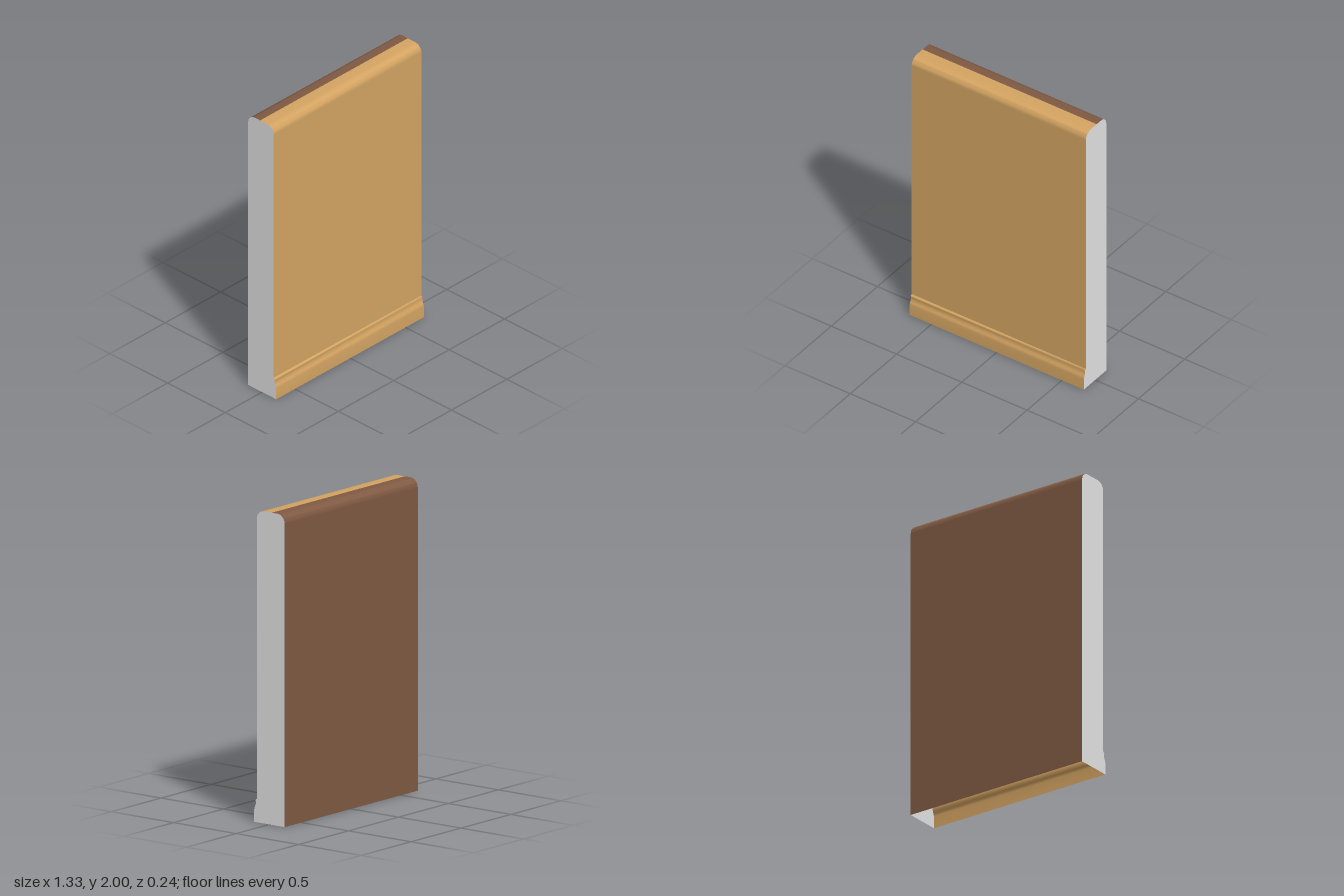
import * as THREE from 'three';

const HALF = 0.667; // half the wall length

// Cross-section as [z, y], running up the front, over the top and down the back
const BASEBOARD = [[0.122, 0], [0.122, 0.08], [0.117, 0.097], [0.11, 0.11], [0.107, 0.132], [0.112, 0.143], [0.1, 0.15]];
const FRONT = [[0.1, 0.15], [0.1, 1.945], [0.096, 1.968], [0.083, 1.986]];
const FRONT_TOP = [[0.083, 1.986], [0.068, 1.995], [0.045, 2], [-0.018, 2]];
const BACK_TOP = [[-0.018, 2], [-0.07, 2], [-0.092, 1.994], [-0.112, 1.975]];
const BACK = [[-0.112, 1.975], [-0.119, 1.96], [-0.122, 1.94], [-0.122, 0]];

// Sweeps a piece of the cross-section along the wall
function strip(name, profile, material) {
  const n = profile.length - 1;
  const geometry = new THREE.PlaneGeometry(2 * HALF, 1, 1, n);
  const pos = geometry.attributes.position;
  for (let i = 0; i < pos.count; i++) {
    const [z, y] = profile[n - Math.floor(i / 2)];
    pos.setXYZ(i, pos.getX(i), y, z);
  }
  geometry.computeVertexNormals();
  const mesh = new THREE.Mesh(geometry, material);
  mesh.name = name;
  return mesh;
}

// Flat end of the wall; side is +1 for left, -1 for right
function endCap(name, side, material) {
  const outline = [BASEBOARD, FRONT, FRONT_TOP, BACK_TOP, BACK]
    .flatMap((part, i) => (i ? part.slice(1) : part))
    .map(([z, y]) => new THREE.Vector2(-side * z, y));
  const geometry = new THREE.ShapeGeometry(new THREE.Shape(outline));
  geometry.rotateY(side * Math.PI / 2);
  const mesh = new THREE.Mesh(geometry, material);
  mesh.position.x = side * HALF;
  mesh.name = name;
  return mesh;
}

function paint(name, color) {
  const material = new THREE.MeshStandardMaterial({ color, side: THREE.DoubleSide });
  material.name = name;
  return material;
}

export function createModel() {
  const tan = paint('tan', 0xd4a462);
  const brown = paint('brown', 0x805a43);
  const white = paint('offWhite', 0xe6e6e6);

  const wall = new THREE.Group();
  wall.name = 'wallSegment';
  // The underside stays open
  wall.add(
    strip('baseboard', BASEBOARD, tan),
    strip('frontPanel', FRONT, tan),
    strip('frontTopEdge', FRONT_TOP, tan),
    strip('backTopEdge', BACK_TOP, brown),
    strip('backPanel', BACK, brown),
    endCap('leftEnd', 1, white),
    endCap('rightEnd', -1, white),
  );
  return wall;
}
